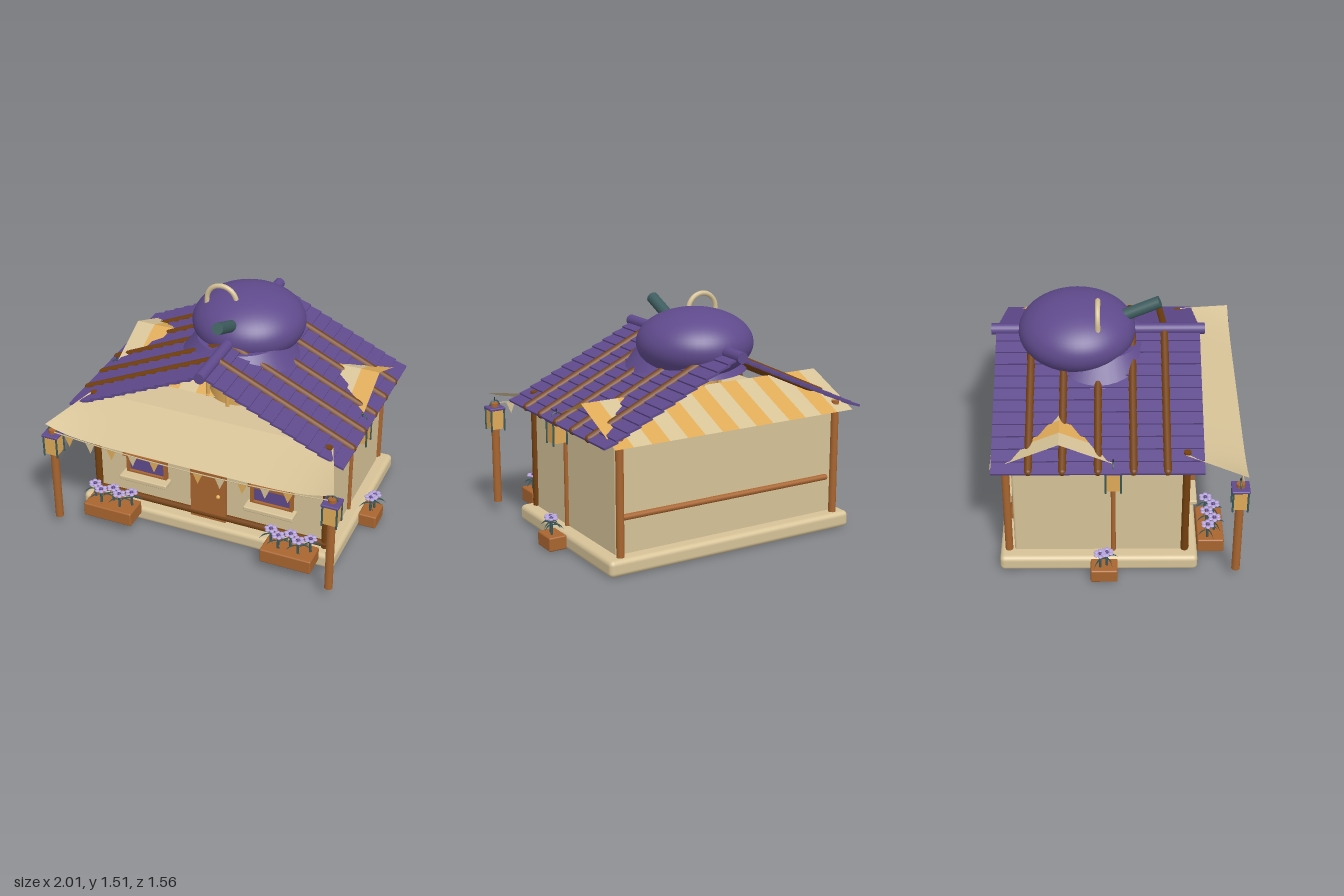
import * as THREE from 'three';
import { RoundedBoxGeometry } from 'three/addons/geometries/RoundedBoxGeometry.js';

const paint = (name, color, side = THREE.FrontSide) => {
  const m = new THREE.MeshStandardMaterial({ color, side });
  m.name = name;
  return m;
};

export function createModel() {
  const purple = paint('purple', 0x5f4a8c, THREE.DoubleSide);
  const cream = paint('cream', 0xd6c297, THREE.DoubleSide);
  const gold = paint('gold', 0xdeaa58, THREE.DoubleSide);
  const darkWood = paint('darkWood', 0x73400f);
  const wood = paint('wood', 0xa8652f);
  const teal = paint('teal', 0x3d5c5e, THREE.DoubleSide);
  const lavender = paint('lavender', 0xb5a3dc, THREE.DoubleSide);
  const iron = paint('iron', 0x2b2f38);

  const model = new THREE.Group();
  const house = new THREE.Group();
  house.name = 'house';
  house.position.x = -0.015;
  model.add(house);

  const add = (name, geo, mat, x = 0, y = 0, z = 0, parent = house) => {
    const m = new THREE.Mesh(geo, mat);
    m.name = name;
    m.position.set(x, y, z);
    parent.add(m);
    return m;
  };
  const box = (name, mat, w, h, d, x, y, z, parent) =>
    add(name, new THREE.BoxGeometry(w, h, d), mat, x, y, z, parent);
  const soft = (name, mat, w, h, d, r, x, y, z, parent) =>
    add(name, new RoundedBoxGeometry(w, h, d, 3, r), mat, x, y, z, parent);
  // Round bar between two points
  const bar = (name, mat, a, b, r, parent, sides = 12) => {
    const p = new THREE.Vector3(...a), q = new THREE.Vector3(...b);
    const m = add(name, new THREE.CylinderGeometry(r, r, p.distanceTo(q), sides), mat, 0, 0, 0, parent);
    m.position.copy(p).lerp(q, 0.5);
    m.quaternion.setFromUnitVectors(new THREE.Vector3(0, 1, 0), q.sub(p).normalize());
    return m;
  };
  // Open cloth from a rule (u, v) -> point
  const cloth = (name, mat, nu, nv, rule, parent) => {
    const geo = new THREE.PlaneGeometry(1, 1, nu, nv);
    const p = geo.attributes.position;
    for (let i = 0; i < p.count; i++) p.setXYZ(i, ...rule(p.getX(i) + 0.5, 0.5 - p.getY(i)));
    geo.computeVertexNormals();
    return add(name, geo, mat, 0, 0, 0, parent);
  };

  // Foundation and walls
  soft('foundation', cream, 1.74, 0.103, 1.22, 0.03, 0, 0.0545, -0.12);
  add('floorDisc', new THREE.CylinderGeometry(0.38, 0.38, 0.01, 12), darkWood, 0, 0.006, -0.12);
  soft('walls', cream, 1.57, 0.69, 1.04, 0.015, 0, 0.435, -0.12);

  // Timber frame
  for (const s of [-1, 1]) {
    bar('frontCornerPost', darkWood, [s * 0.785, 0.11, 0.41], [s * 0.785, 0.87, 0.41], 0.023);
    bar('backCornerPost', wood, [s * 0.775, 0.1, -0.675], [s * 0.775, 0.84, -0.675], 0.024);
    bar('sidePost', wood, [s * 0.79, 0.1, -0.03], [s * 0.79, 0.79, -0.03], 0.015);
  }
  bar('frontLowBeam', darkWood, [-0.8, 0.14, 0.415], [0.8, 0.14, 0.415], 0.022);
  bar('frontTopBeam', darkWood, [-0.8, 0.75, 0.415], [0.8, 0.75, 0.415], 0.022);
  bar('backBeam', wood, [-0.74, 0.335, -0.645], [0.74, 0.335, -0.645], 0.019);
  bar('doorPost', darkWood, [0, 0.62, 0.41], [0, 0.78, 0.41], 0.022);

  // Door with arch
  const doorShape = new THREE.Shape();
  doorShape.moveTo(-0.12, 0.11).lineTo(0.12, 0.11).lineTo(0.12, 0.52).lineTo(0.1, 0.545);
  doorShape.lineTo(-0.1, 0.545).lineTo(-0.12, 0.52);
  add('door', new THREE.ExtrudeGeometry(doorShape, { depth: 0.04, bevelEnabled: false }), wood, 0, 0, 0.39);
  const arch = new THREE.Shape();
  arch.absarc(0, 0.49, 0.145, 0, Math.PI, false);
  arch.absarc(0, 0.49, 0.105, Math.PI, 0, true);
  add('doorArch', new THREE.ExtrudeGeometry(arch, { depth: 0.04, bevelEnabled: false, curveSegments: 16 }), darkWood, 0, 0, 0.4);
  add('doorKnob', new THREE.SphereGeometry(0.014, 12, 8), gold, 0.075, 0.31, 0.44);
  add('peephole', new THREE.SphereGeometry(0.012, 12, 8), darkWood, 0.1, 0.45, 0.43);

  // Windows
  for (const s of [-1, 1]) {
    const x = s * 0.43;
    box('windowPane', purple, 0.25, 0.28, 0.008, x, 0.48, 0.408);
    for (const [y, z] of [[0.555, 0.4375], [0.4, 0.415]]) {
      const d = (z - 0.4) * 2;
      for (const e of [-1, 1]) {
        box('windowStile', wood, 0.02, 0.155, d, x + e * 0.131, y, z);
        box('windowRail', wood, 0.25, 0.018, d, x, y + e * 0.069, z);
      }
    }
    soft('windowSill', cream, 0.33, 0.032, 0.09, 0.008, x, 0.313, 0.447);
  }

  // Tiled roof with log battens
  const slope = Math.atan2(0.42, 0.905), rows = 12, run = 0.998 / rows;
  for (const s of [-1, 1]) {
    for (let i = 0; i < rows; i++) {
      const t = (i + 0.5) / rows;
      const row = box('roofTileRow', purple, run * 1.15, 0.014, 1.26, s * 0.905 * t, 1.22 - 0.42 * t, -0.12);
      row.rotation.z = -s * (slope - 0.13);
    }
    for (const z of [0.29, 0.09, -0.12, -0.33, -0.53]) {
      bar('roofLog', darkWood, [0, 1.222, z], [s * 0.893, 0.808, z], 0.025);
      add('roofLogEnd', new THREE.SphereGeometry(0.025, 12, 8), darkWood, s * 0.893, 0.808, z);
    }
  }
  bar('ridgeCap', purple, [0, 1.225, 0.54], [0, 1.225, -0.78], 0.035, house, 20);

  // Kettle dome, brim, spout, handle and light drum
  add('dome', new THREE.SphereGeometry(1, 48, 32), purple, 0, 1.225, -0.25).scale.set(0.363, 0.213, 0.363);
  add('domeBrim', new THREE.CylinderGeometry(0.28, 0.395, 0.15, 40), purple, 0, 1.11, -0.12);
  bar('spout', teal, [0, 1.28, -0.06], [0, 1.42, 0.26], 0.038, house, 20);
  add('handle', new THREE.TorusGeometry(0.1, 0.016, 10, 24, Math.PI), cream, -0.135, 1.395, -0.12);
  for (const s of [-1, 1])
    bar('handleFoot', cream, [-0.135 + s * 0.1, 1.34, -0.12], [-0.135 + s * 0.1, 1.395, -0.12], 0.016);
  add('lightDrum', new THREE.CylinderGeometry(0.21, 0.21, 0.28, 32), gold, 0, 0.9, -0.12);
  for (let i = 0; i < 8; i++) {
    const a = i * Math.PI / 4;
    const x = Math.sin(a) * 0.23, z = -0.12 + Math.cos(a) * 0.23;
    bar('drumSlat', gold, [x, 0.78, z], [x, 1.04, z], 0.013);
  }

  // Striped tent cloth under the roof
  const stripes = 14, half = 0.848;
  for (let i = 0; i < stripes; i++) {
    for (const [zEnd, yEnd] of [[-0.76, 0.79], [0.06, 0.79]]) {
      cloth('tentStripe', i % 2 ? gold : cream, 1, 1, (u, v) => [
        -half + (i + u) * 2 * half / stripes, 0.97 + (yEnd - 0.97) * v, -0.35 + (zEnd + 0.35) * v]);
    }
  }

  // Front awning
  cloth('awning', cream, 32, 6, (u, v) => {
    const k = 2 * u - 1;
    const front = 0.735 + 0.065 * k ** 6;
    return [k * (0.81 + 0.135 * v), 0.86 + (front - 0.86) * v, 0.4 + 0.365 * v];
  });

  // Bunting
  const line = x => 0.69 + 0.045 * (x / 0.9) ** 2;
  const points = [];
  for (let i = 0; i <= 12; i++) points.push(new THREE.Vector3(-0.9 + i * 0.15, line(-0.9 + i * 0.15), 0.74));
  add('buntingString', new THREE.TubeGeometry(new THREE.CatmullRomCurve3(points), 40, 0.004, 5), cream);
  const flag = new THREE.Shape();
  flag.moveTo(-0.032, 0).lineTo(0, -0.075).lineTo(0.032, 0);
  for (let i = 0; i < 12; i++) {
    const x = -0.7975 + i * 0.145;
    add('pennant', new THREE.ShapeGeometry(flag), i % 2 ? cream : gold, x, line(x), 0.74);
  }

  // Lantern hung from its top centre
  const lantern = (x, y, z) => {
    const g = new THREE.Group();
    g.name = 'lantern';
    g.position.set(x, y, z);
    house.add(g);
    box('lanternGlass', gold, 0.085, 0.125, 0.085, 0, -0.065, 0, g);
    soft('lanternRoof', purple, 0.11, 0.018, 0.11, 0.007, 0, 0.008, 0, g);
    for (const a of [-1, 1]) for (const b of [-1, 1])
      bar('lanternPost', teal, [a * 0.045, -0.14, b * 0.045], [a * 0.045, 0, b * 0.045], 0.006, g, 6);
    add('lanternHook', new THREE.TorusGeometry(0.032, 0.005, 6, 16, Math.PI), teal, 0, 0.027, 0, g);
    bar('lanternPin', iron, [0, 0.05, 0], [0, 0.08, 0], 0.004, g, 6);
  };

  // Flower with stem, drooping leaves and petals
  const leafShape = new THREE.Shape();
  leafShape.moveTo(0, 0).quadraticCurveTo(0.04, 0.035, 0.075, -0.025).quadraticCurveTo(0.04, 0.01, 0, 0);
  const flower = (x, y, z, leaves) => {
    const g = new THREE.Group();
    g.name = 'flower';
    g.position.set(x, y, z);
    house.add(g);
    bar('stem', teal, [0, 0, 0], [0, 0.105, 0], 0.008, g, 6);
    for (let i = 0; i < leaves; i++)
      add('leaf', new THREE.ShapeGeometry(leafShape), teal, 0, 0.06, 0, g).rotation.y = i * 2 * Math.PI / leaves + 0.5;
    for (let i = 0; i < 6; i++) {
      const a = i * Math.PI / 3;
      add('petal', new THREE.SphereGeometry(1, 8, 6), lavender, Math.cos(a) * 0.028, 0.105, Math.sin(a) * 0.028, g)
        .scale.set(0.016, 0.008, 0.016);
    }
    add('flowerHeart', new THREE.SphereGeometry(0.011, 8, 6), purple, 0, 0.107, 0, g);
  };

  for (const s of [-1, 1]) {
    // Lamp posts and side lanterns
    bar('lampPost', wood, [s * 0.922, 0.07, 0.72], [s * 0.922, 0.74, 0.72], 0.026);
    lantern(s * 0.922, 0.7, 0.72);
    lantern(s * 0.85, 0.785, -0.03);
    // Front planters
    soft('frontPlanter', wood, 0.335, 0.095, 0.165, 0.01, s * 0.61, 0.1175, 0.573);
    for (let i = 0; i < 5; i++)
      flower(s * 0.61 - 0.13 + i * 0.065, 0.16, 0.573 + (i % 2 ? 0.025 : -0.02), 4);
    // Side planters
    soft('sidePlanter', wood, 0.12, 0.09, 0.165, 0.01, s * 0.925, 0.055, -0.087);
    flower(s * 0.925, 0.1, -0.07, 4);
    flower(s * 0.94, 0.1, -0.11, 3);
  }
  return model;
}
